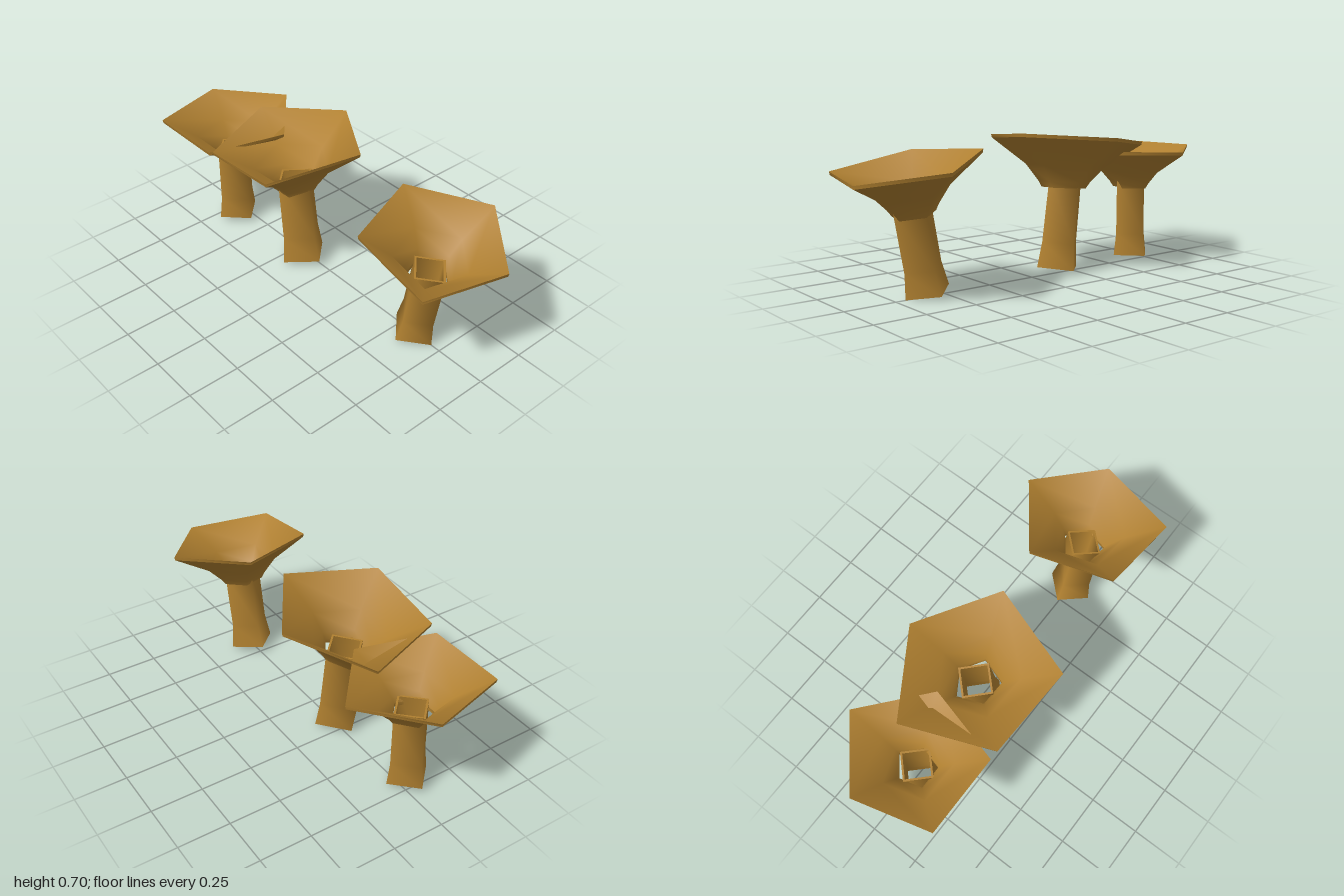
import * as THREE from 'three';

const ochre = new THREE.MeshStandardMaterial({ color: 0xb08030 });
ochre.name = 'ochre';

// Smooth closed band through a stack of rings (upward order faces outward).
function band(rings, name) {
  const n = rings[0].length, pos = [], idx = [];
  rings.forEach((ring) => ring.forEach((p) => pos.push(p.x, p.y, p.z)));
  for (let j = 0; j < rings.length - 1; j++) {
    for (let i = 0; i < n; i++) {
      const a = j * n + i, b = j * n + (i + 1) % n;
      idx.push(a, a + n, b + n, a, b + n, b);
    }
  }
  const geo = new THREE.BufferGeometry();
  geo.setAttribute('position', new THREE.Float32BufferAttribute(pos, 3));
  geo.setIndex(idx);
  geo.computeVertexNormals();
  const mesh = new THREE.Mesh(geo, ochre);
  mesh.name = name;
  return mesh;
}

// Hollow shell: outer and inner walls joined by sharp top and bottom edges.
function shell(outer, inner, name) {
  const g = new THREE.Group(), top = outer.length - 1;
  g.name = name;
  g.add(
    band(outer, name + 'Outside'),
    band([outer[top], inner[top]], name + 'TopEdge'),
    band([...inner].reverse(), name + 'Inside'),
    band([inner[0], outer[0]], name + 'BottomEdge'),
  );
  return g;
}

// Five-sided cup, lofted from a small tilted ring to the rim corners.
function makeCup({ rim, cupBase }) {
  const corners = rim.map((p) => new THREE.Vector3(...p));
  const centre = new THREE.Vector3();
  corners.forEach((p) => centre.addScaledVector(p, 1 / corners.length));
  const base = new THREE.Vector3(...cupBase);
  const ring = (spread, height, drop) => corners.map((p) => {
    const q = base.clone().lerp(centre, height).addScaledVector(p.clone().sub(centre), spread);
    q.y -= drop;
    return q;
  });
  const profile = [[0.29, 0], [0.34, 0.13], [0.52, 0.47], [1, 1]];
  const outer = profile.map(([s, h]) => ring(s * 0.99, h, 0.016));
  const inner = profile.map(([s, h]) => ring(s, h, 0));
  return shell(outer, inner, 'cup');
}

// Hollow four-sided stalk with a flared foot, leaning sideways.
function makeStalk({ foot, lean, stalk }) {
  const ring = (r, h) => [0, 1, 2, 3].map((k) => {
    const a = k * Math.PI / 2;
    return new THREE.Vector3(r * Math.cos(a), h, r * Math.sin(a))
      .applyAxisAngle(new THREE.Vector3(0, 0, 1), lean)
      .add(new THREE.Vector3(...foot));
  });
  const outer = stalk.map(([r, h]) => ring(r, h));
  const inner = stalk.map(([r, h]) => ring(r - 0.013, h));
  return shell(outer, inner, 'stalk');
}

const plants = [
  {
    name: 'rightPlant',
    rim: [[-0.70, 0.582, -0.305], [-0.40, 0.582, -0.05], [-0.50, 0.582, 0.325],
      [-0.90, 0.582, 0.325], [-1.0, 0.582, -0.05]],
    cupBase: [-0.695, 0.39, 0.05],
    foot: [-0.69, 0.025, 0.05], lean: 0,
    stalk: [[0.113, 0], [0.098, 0.11], [0.097, 0.39]],
  },
  {
    name: 'middlePlant',
    rim: [[-0.25, 0.68, -0.32], [0.12, 0.705, -0.08], [-0.02, 0.662, 0.355],
      [-0.46, 0.607, 0.33], [-0.63, 0.622, -0.09]],
    cupBase: [-0.22, 0.428, 0.03],
    foot: [-0.175, 0.025, 0.025], lean: 0.12,
    stalk: [[0.125, 0], [0.108, 0.125], [0.102, 0.435]],
  },
  {
    name: 'leftPlant',
    rim: [[0.685, 0.6, -0.36], [0.997, 0.545, -0.105], [0.90, 0.556, 0.295],
      [0.49, 0.63, 0.27], [0.36, 0.655, -0.115]],
    cupBase: [0.65, 0.392, 0],
    foot: [0.588, 0.023, 0], lean: -0.18,
    stalk: [[0.115, 0], [0.097, 0.115], [0.097, 0.4]],
  },
];

export function createModel() {
  const model = new THREE.Group();
  model.name = 'funnelPlants';
  for (const p of plants) {
    const plant = new THREE.Group();
    plant.name = p.name;
    plant.add(makeCup(p), makeStalk(p));
    model.add(plant);
  }
  return model;
}
